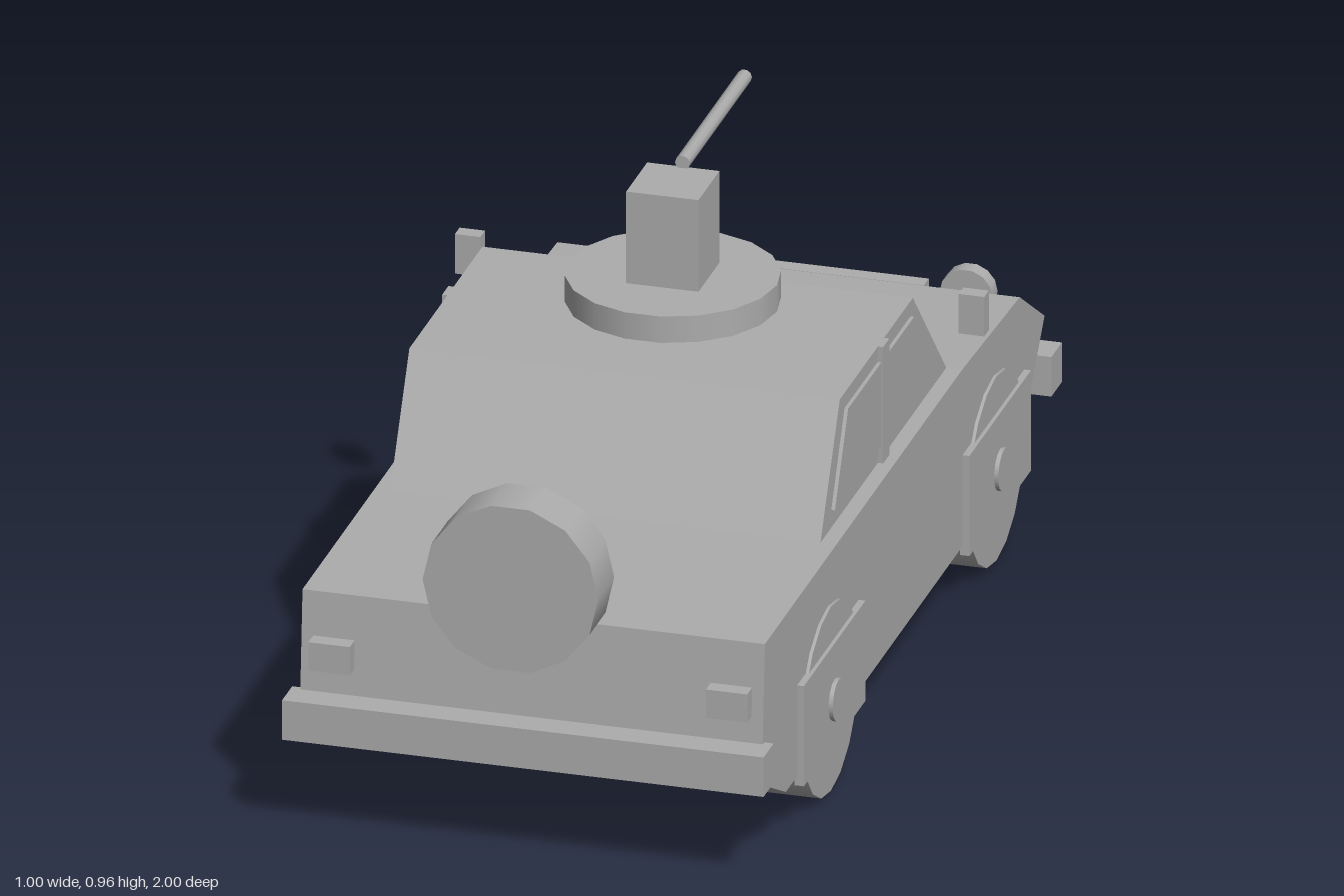
import * as THREE from 'three';

export function createModel() {
  const model = new THREE.Group();
  model.name = 'armedOffRoadVehicle';

  const grey = new THREE.MeshStandardMaterial({ color: 0xacacac });
  grey.name = 'plain grey';

  const add = (name, geometry, x = 0, y = 0, z = 0) => {
    const mesh = new THREE.Mesh(geometry, grey);
    mesh.name = name;
    mesh.position.set(x, y, z);
    model.add(mesh);
    return mesh;
  };

  // Box given by its limits on each axis
  const box = (name, x0, x1, y0, y1, z0, z1) =>
    add(name, new THREE.BoxGeometry(x1 - x0, y1 - y0, z1 - z0),
      (x0 + x1) / 2, (y0 + y1) / 2, (z0 + z1) / 2);

  // Side profile in (z, y), extruded across x and centred on x = 0
  const slab = (profile, width) => {
    const shape = new THREE.Shape(profile.map(([z, y]) => new THREE.Vector2(z, y)));
    const geometry = new THREE.ExtrudeGeometry(shape, { depth: width, bevelEnabled: false });
    return geometry.translate(0, 0, -width / 2).rotateY(-Math.PI / 2);
  };

  // Cylinder lying along z, with a vertex at each side
  const discZ = (radius, length, sides) =>
    new THREE.CylinderGeometry(radius, radius, length, sides).rotateY(Math.PI / 2).rotateX(Math.PI / 2);

  // Cylinder lying along x, with a flat at the bottom
  const discX = (radius, length, sides) =>
    new THREE.CylinderGeometry(radius, radius, length, sides).rotateZ(Math.PI / 2).rotateX(Math.PI / sides);

  // Hull and cabin
  add('hull', slab([
    [0.85, 0.46], [0.87, 0.19], [0.715, 0.11], [-0.76, 0.11],
    [-0.95, 0.34], [-0.79, 0.445], [-0.42, 0.46],
  ], 0.87));
  add('cabin', slab([[0.39, 0.46], [-0.42, 0.46], [-0.205, 0.69], [0.265, 0.69]], 0.81));

  // Bumpers and grille bar
  box('spareEndBumper', -0.453, 0.453, 0.19, 0.268, 0.855, 0.92);
  box('gunEndBumper', -0.453, 0.453, 0.19, 0.268, -1, -0.932);
  box('grilleBar', -0.215, 0.215, 0.34, 0.383, -0.957, -0.925);

  // Spare wheel
  add('spareWheel', discZ(0.165, 0.105, 14), 0, 0.578, 0.948);

  // Turret and gun
  add('turretRing', new THREE.CylinderGeometry(0.196, 0.196, 0.052, 18).rotateY(Math.PI / 2), 0, 0.731, -0.046);
  box('gunMount', -0.068, 0.068, 0.757, 0.938, -0.113, 0.022);
  add('gunBarrel', discZ(0.014, 0.4, 10), 0, 0.948, -0.307);

  for (const s of [1, -1]) {
    const side = s > 0 ? 'left' : 'right';
    const sideBox = (name, x0, x1, ...rest) =>
      box(side + name, Math.min(s * x0, s * x1), Math.max(s * x0, s * x1), ...rest);

    // Side windows and door pillar
    add(side + 'WideWindow', slab([[0.32, 0.495], [0.022, 0.495], [0.022, 0.66], [0.235, 0.66]], 0.008), s * 0.408, 0, 0);
    add(side + 'SlopedWindow', slab([[-0.022, 0.495], [-0.345, 0.495], [-0.19, 0.66], [-0.022, 0.66]], 0.008), s * 0.408, 0, 0);
    sideBox('Pillar', 0.4, 0.415, 0.46, 0.69, -0.02, 0.02);

    // Mirrors and lamps
    sideBox('Mirror', 0.45, 0.498, 0.565, 0.643, -0.376, -0.346);
    sideBox('TailLamp', 0.335, 0.413, 0.318, 0.374, 0.85, 0.888);
    add(side + 'Headlamp', discZ(0.05, 0.032, 14), s * 0.294, 0.373, -0.943);

    // Wheels with hubs and fender plates
    for (const [end, z] of [['SpareEnd', 0.445], ['GunEnd', -0.62]]) {
      add(side + end + 'Wheel', discX(0.182, 0.15, 18), s * 0.366, 0.18, z);
      add(side + end + 'Hub', discX(0.04, 0.03, 14), s * 0.441, 0.18, z);
      sideBox(end + 'Fender', 0.43, 0.448, 0.092, 0.29, z - 0.198, z + 0.198);
    }
  }

  return model;
}
